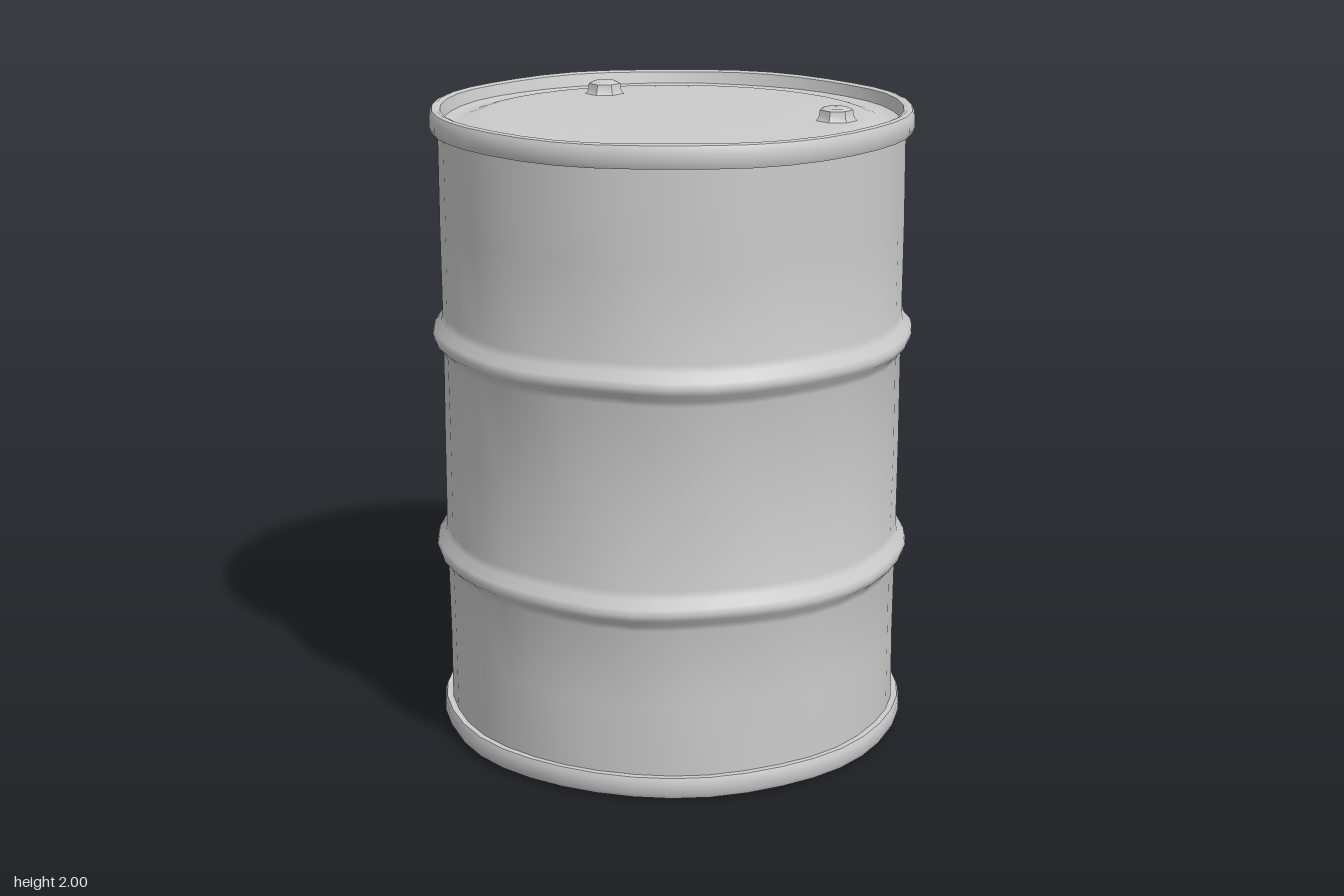
import * as THREE from 'three';
import { toCreasedNormals } from 'three/addons/utils/BufferGeometryUtils.js';

const SEGMENTS = 40;
const steel = new THREE.MeshStandardMaterial({ color: 0xcccccc });
steel.name = 'bare steel';

// Slight periodic unevenness of worn sheet metal
function dent(geometry, amount) {
  const p = geometry.attributes.position;
  for (let i = 0; i < p.count; i++) {
    const x = p.getX(i), y = p.getY(i), z = p.getZ(i);
    const a = Math.atan2(z, x);
    const wave = Math.sin(5 * a + y * 4) * 0.5 + Math.sin(11 * a - y * 7) * 0.5;
    const s = 1 + amount * wave;
    p.setXYZ(i, x * s, y + amount * 0.8 * Math.sin(7 * a + y * 3), z * s);
  }
  return geometry;
}

function lathe(name, points, amount = 0, segments = SEGMENTS, crease = 0.75) {
  const g = new THREE.LatheGeometry(points.map(([r, y]) => new THREE.Vector2(r, y)), segments);
  const mesh = new THREE.Mesh(toCreasedNormals(dent(g, amount), crease), steel);
  mesh.name = name;
  return mesh;
}

// One drum end, built as a top: rolled rim, recessed lid and two bungs
function createEnd(name) {
  const end = new THREE.Group();
  end.name = name;
  end.add(lathe('rim', [
    [0.712, -0.07], [0.738, -0.07], [0.744, -0.055], [0.744, -0.02],
    [0.736, -0.004], [0.724, 0], [0.71, -0.006], [0.7, -0.045],
  ], 0.002));
  end.add(lathe('lid', [
    [0.702, -0.043], [0.675, -0.049], [0.645, -0.046], [0.61, -0.036],
    [0.57, -0.034], [0.3, -0.034], [0, -0.034],
  ]));
  for (const [x, z] of [[0, -0.48], [0.395, 0.32]]) {
    const bung = lathe('bung', [
      [0.066, -0.036], [0.056, -0.026], [0.052, -0.002], [0.04, 0.004], [0, 0.006],
    ], 0, 7, 0.6);
    bung.position.set(x, 0, z);
    end.add(bung);
  }
  return end;
}

export function createModel() {
  const drum = new THREE.Group();
  drum.name = 'drum';

  // Wall with two rolled hoops
  const wall = [[0.72, 0.04], [0.72, 0.3]];
  for (const y of [0.6, 1.29]) {
    wall.push([0.72, y - 0.06], [0.726, y - 0.04], [0.748, y - 0.018], [0.753, y],
      [0.748, y + 0.018], [0.726, y + 0.042], [0.72, y + 0.065], [0.72, y + 0.34]);
  }
  wall.push([0.72, 1.95]);
  drum.add(lathe('wall', wall, 0.004, SEGMENTS, 1));

  const top = createEnd('topEnd');
  top.position.y = 1.991;
  drum.add(top);

  // The bottom end mirrors the top, with its triangles turned to face outward
  const bottom = createEnd('bottomEnd');
  bottom.scale.y = -1;
  bottom.position.y = 0.006;
  drum.add(bottom);

  return drum;
}
